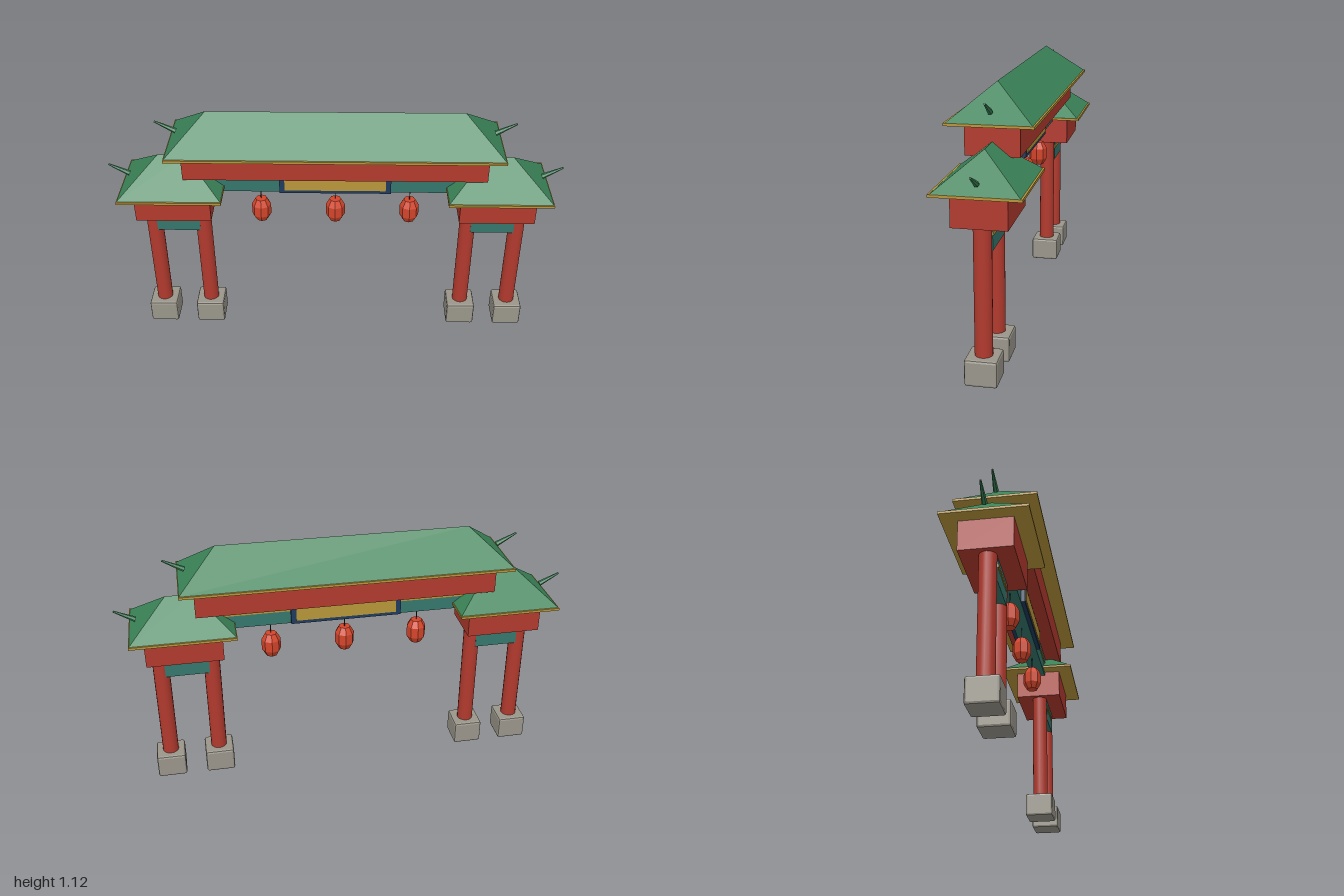
import * as THREE from 'three';
import { RoundedBoxGeometry } from 'three/addons/geometries/RoundedBoxGeometry.js';

const mat = (name, color, opts = {}) => {
  const m = new THREE.MeshStandardMaterial({ color, ...opts });
  m.name = name;
  return m;
};

export function createModel() {
  const red = mat('red lacquer', 0xb23a2e);
  const green = mat('green tile', 0x3a8257, { flatShading: true });
  const gold = mat('gold', 0xb8963a);
  const teal = mat('teal paint', 0x35776c);
  const navy = mat('navy', 0x1f3a5f);
  const stone = mat('stone', 0x9a968b, { flatShading: true });
  const paper = mat('lantern paper', 0xd4452a, { flatShading: true });
  const dark = mat('dark cord', 0x2a2a2a);

  const model = new THREE.Group();
  model.name = 'gateway';

  const add = (parent, name, geometry, material, x = 0, y = 0, z = 0) => {
    const mesh = new THREE.Mesh(geometry, material);
    mesh.name = name;
    mesh.position.set(x, y, z);
    parent.add(mesh);
    return mesh;
  };

  // Box given by its bottom and top heights
  const block = (parent, name, material, w, y0, y1, d, x = 0, z = 0) =>
    add(parent, name, new THREE.BoxGeometry(w, y1 - y0, d), material, x, (y0 + y1) / 2, z);

  // Hipped roof: a box whose top is pinched to a ridge
  const hipRoof = (halfX, halfZ, ridge, height) => {
    const g = new THREE.BoxGeometry(halfX * 2, height, halfZ * 2).toNonIndexed();
    const p = g.attributes.position;
    for (let i = 0; i < p.count; i++) {
      if (p.getY(i) > 0) p.setXYZ(i, Math.sign(p.getX(i)) * ridge, height / 2, 0);
    }
    g.computeVertexNormals();
    return g;
  };

  // Red frieze box, gold eave board and tiled roof
  const roofTier = (name, x, frieze, y0, yEave, eave, ridge, top) => {
    const tier = new THREE.Group();
    tier.name = name;
    tier.position.x = x;
    model.add(tier);
    const yRoof = yEave + 0.011;
    block(tier, 'frieze', red, frieze, y0, yEave, 0.218);
    block(tier, 'eaveBoard', gold, eave * 2, yEave, yRoof, 0.35);
    add(tier, 'roof', hipRoof(eave - 0.003, 0.167, ridge, top - yRoof), green, 0, (yRoof + top) / 2);
  };

  // Tapered finial pointing up and outwards
  const finial = (side, x, y) => {
    const dir = new THREE.Vector3(side * 0.088, 0.046, 0);
    const horn = add(model, 'finial', new THREE.CylinderGeometry(0.004, 0.012, dir.length(), 6), green,
      side * (x + 0.044), y + 0.023);
    horn.quaternion.setFromUnitVectors(new THREE.Vector3(0, 1, 0), dir.normalize());
  };

  // Painted beam with a gold stripe on both faces
  const beam = (name, x, w, y0, y1, stripeY) => {
    block(model, name, teal, w, y0, y1, 0.07, x);
    for (const s of [-1, 1]) {
      block(model, name + 'Stripe', gold, w, stripeY - 0.007, stripeY + 0.007, 0.005, x, s * 0.0365);
    }
  };

  // Columns on stone bases, side beams and side roofs
  for (const side of [-1, 1]) {
    for (const cx of [0.602, 0.826]) {
      add(model, 'columnBase', new RoundedBoxGeometry(0.131, 0.11, 0.131, 1, 0.01), stone, side * cx, 0.055);
      add(model, 'column', new THREE.CylinderGeometry(0.036, 0.036, 0.54, 16), red, side * cx, 0.375);
    }
    beam('sideBeam', side * 0.712, 0.195, 0.527, 0.64, 0.595);
    roofTier('sideRoof', side * 0.715, 0.333, 0.631, 0.761, 0.226, 0.06, 0.908);
    finial(side, 0.908, 0.811);
    finial(side, 0.683, 1.028);
  }

  // Central beam and main roof
  beam('mainBeam', 0, 1.2, 0.743, 0.86, 0.811);
  roofTier('mainRoof', 0, 1.31, 0.849, 0.974, 0.717, 0.55, 1.124);

  // Framed plaque on front and back
  for (const s of [-1, 1]) {
    block(model, 'plaqueFrame', navy, 0.49, 0.747, 0.842, 0.02, 0, s * 0.042);
    block(model, 'plaquePanel', gold, 0.444, 0.763, 0.825, 0.006, 0, s * 0.053);
  }

  // Hanging lanterns
  const profile = [[0, -0.055], [0.026, -0.055], [0.043, -0.025], [0.043, 0.025], [0.026, 0.055], [0, 0.055]]
    .map(([r, y]) => new THREE.Vector2(r, y));
  for (const x of [-0.333, 0, 0.333]) {
    add(model, 'lantern', new THREE.LatheGeometry(profile, 8), paper, x, 0.629);
    add(model, 'lanternCord', new THREE.CylinderGeometry(0.002, 0.002, 0.07, 6), dark, x, 0.714);
  }

  return model;
}
